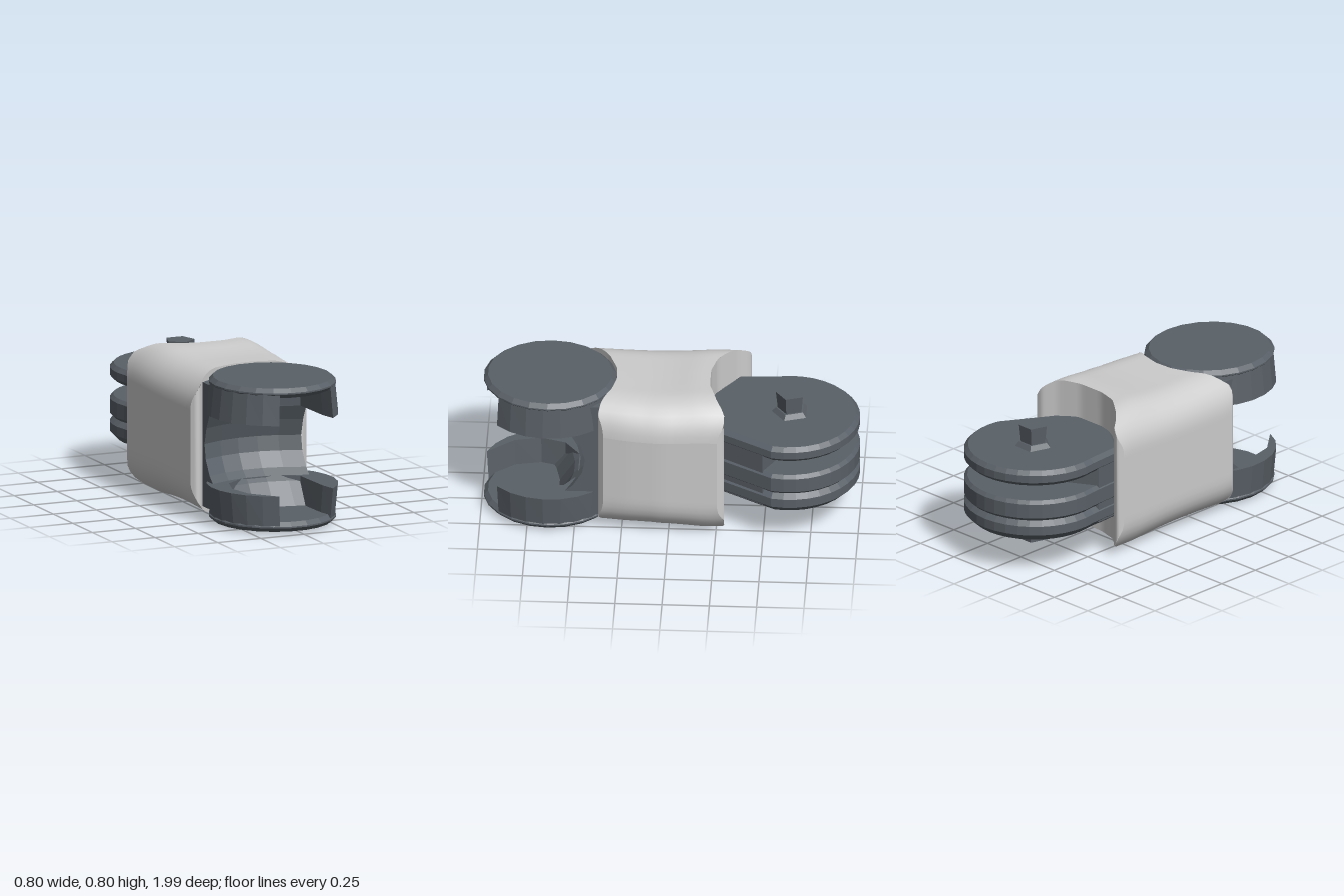
import * as THREE from 'three';

const dark = new THREE.MeshStandardMaterial({ color: 0x596067, flatShading: true, side: THREE.DoubleSide });
const grey = new THREE.MeshStandardMaterial({ color: 0xcccccc, side: THREE.DoubleSide });

function add(parent, name, geometry, material) {
  const mesh = new THREE.Mesh(geometry, material);
  mesh.name = name;
  parent.add(mesh);
}

// Piecewise-linear curve through [x, value] pairs
function curveAt(pts, x) {
  for (let i = 1; i < pts.length; i++) {
    const [x0, v0] = pts[i - 1], [x1, v1] = pts[i];
    if (x <= x1) return v0 + (v1 - v0) * (x - x0) / (x1 - x0);
  }
  return pts[pts.length - 1][1];
}

// Horizontal slab from an [x, z] outline, between two heights, with bevelled rims
function slab(outline, y0, y1, bevel) {
  const shape = new THREE.Shape(outline.map(([x, z]) => new THREE.Vector2(x, z)));
  const g = new THREE.ExtrudeGeometry(shape, {
    depth: y1 - y0 - 2 * bevel, bevelEnabled: bevel > 0, bevelSize: bevel,
    bevelThickness: bevel, bevelOffset: -bevel, bevelSegments: 1,
  });
  return g.rotateX(Math.PI / 2).translate(0, y1 - bevel, 0);
}

function arc(cx, cz, rx, rz, a0, a1, n) {
  return Array.from({ length: n + 1 }, (_, i) => {
    const a = a0 + (a1 - a0) * i / n;
    return [cx + rx * Math.cos(a), cz + rz * Math.sin(a)];
  });
}

// Grid of points (rows x columns) as an indexed smooth surface
function grid(rows, cols, pointAt) {
  const pos = [], idx = [];
  for (let i = 0; i <= rows; i++) for (let j = 0; j <= cols; j++) pos.push(...pointAt(i / rows, j / cols));
  for (let i = 0; i < rows; i++) for (let j = 0; j < cols; j++) {
    const a = i * (cols + 1) + j, b = a + cols + 1;
    idx.push(a, b, a + 1, b, b + 1, a + 1);
  }
  const g = new THREE.BufferGeometry();
  g.setAttribute('position', new THREE.Float32BufferAttribute(pos, 3));
  g.setIndex(idx);
  g.computeVertexNormals();
  return g;
}

// Rounded sleeve whose two ends are scooped to receive the round arms
function makeBody() {
  const body = new THREE.Group();
  body.name = 'body';
  const front = [[-1, 0.43], [-0.94, 0.455], [-0.87, 0.455], [-0.8, 0.425], [-0.45, 0.335], [-0.1, 0.29],
    [0.2, 0.285], [0.5, 0.31], [0.75, 0.36], [0.9, 0.375], [1, 0.345]];
  const back = [[-1, -0.38], [-0.95, -0.41], [-0.87, -0.405], [-0.75, -0.34], [-0.4, -0.24], [-0.1, -0.21],
    [0.3, -0.21], [0.65, -0.25], [0.85, -0.295], [0.95, -0.295], [1, -0.26]];
  // u: -1..1 across, v: -1..1 up, t: 0 back .. 1 front
  const place = (u, v, t) => {
    const right = curveAt([[0, 0.35], [0.5, 0.355], [0.8, 0.335], [1, 0.31]], t);
    const x = -0.4 + (u + 1) / 2 * (right + 0.4);
    const half = curveAt([[0, 0.4], [0.15, 0.402], [0.4, 0.387], [0.6, 0.382], [0.8, 0.384], [1, 0.388]], t);
    const z = curveAt(back, u) * (1 - t) + curveAt(front, u) * t;
    return [x, 0.405 + v * half, z];
  };
  // Rounded-square section
  const c = 0.5, ring = [];
  for (const [sx, sy, start] of [[1, 1, 0], [-1, 1, 1], [-1, -1, 2], [1, -1, 3]]) {
    for (let i = 0; i <= 8; i++) {
      const a = (start + i / 8) * Math.PI / 2;
      ring.push([sx * (1 - c) + c * Math.cos(a), sy * (1 - c) + c * Math.sin(a)]);
    }
    // Extra points along the flat sides
    const [px, py] = ring[ring.length - 1];
    const [dx, dy] = [[-1, 0], [0, -1], [1, 0], [0, 1]][start];
    for (let i = 1; i < 12; i++) ring.push([px + dx * i / 12, py + dy * i / 12]);
  }
  ring.push(ring[0]);
  const n = ring.length - 1;
  add(body, 'sleeve', grid(n, 12, (s, t) => place(...ring[Math.round(s * n)], t)), grey);
  const height = (u) => {
    const k = Math.max(0, Math.abs(u) - (1 - c));
    return 1 - c + Math.sqrt(Math.max(0, c * c - k * k));
  };
  for (const [name, t] of [['backScoop', 0], ['frontScoop', 1]]) {
    add(body, name, grid(48, 1, (s, w) => {
      const u = -Math.cos(s * Math.PI), v = height(u) * (2 * w - 1);
      return place(u, t ? v : -v, t);
    }), grey);
  }
  return body;
}

// Upper and lower round jaws joined by a hollowed web
function makeFork() {
  const fork = new THREE.Group();
  fork.name = 'frontFork';
  const cx = -0.02, cz = 0.64;
  const disc = arc(cx, cz, 0.335, 0.352, 0, Math.PI * 2, 22).slice(0, -1);
  // Rim running from a thin tip on one side, round the back, to a thick end on the other
  const rim = [...arc(cx, cz, 0.347, 0.36, Math.PI / 2 + 0.33, Math.PI * 2.5 - 0.72, 20),
    [0.19, 0.82], [0.18, 0.56], [0.08, 0.49], [-0.13, 0.49], [-0.24, 0.57], [-0.28, 0.7], [-0.25, 0.84]];
  for (const side of ['upper', 'lower']) {
    const up = side === 'upper';
    const level = (a, b) => (up ? [a, b] : [0.81 - b, 0.81 - a]);
    add(fork, side + 'JawPlate', slab(disc, ...level(0.74, 0.792), 0.022), dark);
    // The rim draws in slightly towards its plate
    const wall = slab(rim, ...level(0.595, 0.76), 0), p = wall.attributes.position;
    for (let i = 0; i < p.count; i++) {
      if (Math.abs(p.getY(i) - 0.405) < 0.3) continue;
      p.setX(i, cx + (p.getX(i) - cx) * 0.95);
      p.setZ(i, cz + (p.getZ(i) - cz) * 0.97);
    }
    add(fork, side + 'JawRim', wall, dark);
  }
  // Web profile in (z, y), swept across x, with a foot sloping onto the lower jaw
  const profile = [[0.24, 0.07], [0.66, 0.07], [0.58, 0.19], [0.51, 0.25], [0.46, 0.33], [0.445, 0.41],
    [0.47, 0.5], [0.51, 0.58], [0.53, 0.74], [0.24, 0.74]];
  const web = new THREE.ExtrudeGeometry(new THREE.Shape(profile.map((p) => new THREE.Vector2(...p))),
    { depth: 0.56, steps: 5, bevelEnabled: false });
  web.rotateY(-Math.PI / 2).translate(0.235, 0, 0);
  // Hollow the middle of the web
  const p = web.attributes.position;
  for (let i = 0; i < p.count; i++) {
    const k = (p.getX(i) + 0.045) / 0.28;
    if (p.getZ(i) > 0.3) p.setZ(i, p.getZ(i) - 0.07 * (1 - k * k));
  }
  add(fork, 'web', web, dark);
  return fork;
}

// Stacked round knuckle plates on a neck, with a pin through them
function makeKnuckle() {
  const knuckle = new THREE.Group();
  knuckle.name = 'rearKnuckle';
  const outline = [...arc(0.022, -0.628, 0.374, 0.372, 0.22, -Math.PI - 0.22, 20),
    [-0.33, -0.34], [-0.12, -0.19], [0.12, -0.19], [0.22, -0.27]];
  const plates = [['lowerPlate', 0.205, 0.335, 0.04], ['middlePlate', 0.325, 0.44, 0.018], ['upperPlate', 0.525, 0.61, 0.022]];
  for (const [name, y0, y1, bevel] of plates) add(knuckle, name, slab(outline, y0, y1, bevel), dark);
  const neck = [[-0.325, -0.34], [-0.335, -0.5], [-0.12, -0.62], [0.14, -0.62], [0.35, -0.5], [0.215, -0.28], [0, -0.18]];
  add(knuckle, 'neck', slab(neck, 0.22, 0.6, 0.01), dark);
  const pin = (name, r0, r1, y0, y1) => add(knuckle, name,
    new THREE.CylinderGeometry(r1, r0, y1 - y0, 5).translate(0.02, (y0 + y1) / 2, -0.635), dark);
  pin('pinTop', 0.065, 0.08, 0.58, 0.73);
  pin('pinCollar', 0.11, 0.08, 0.6, 0.635);
  pin('pinBottom', 0.085, 0.085, 0.08, 0.25);
  return knuckle;
}

export function createModel() {
  const model = new THREE.Group();
  model.name = 'jointLink';
  model.add(makeBody(), makeFork(), makeKnuckle());
  return model;
}
